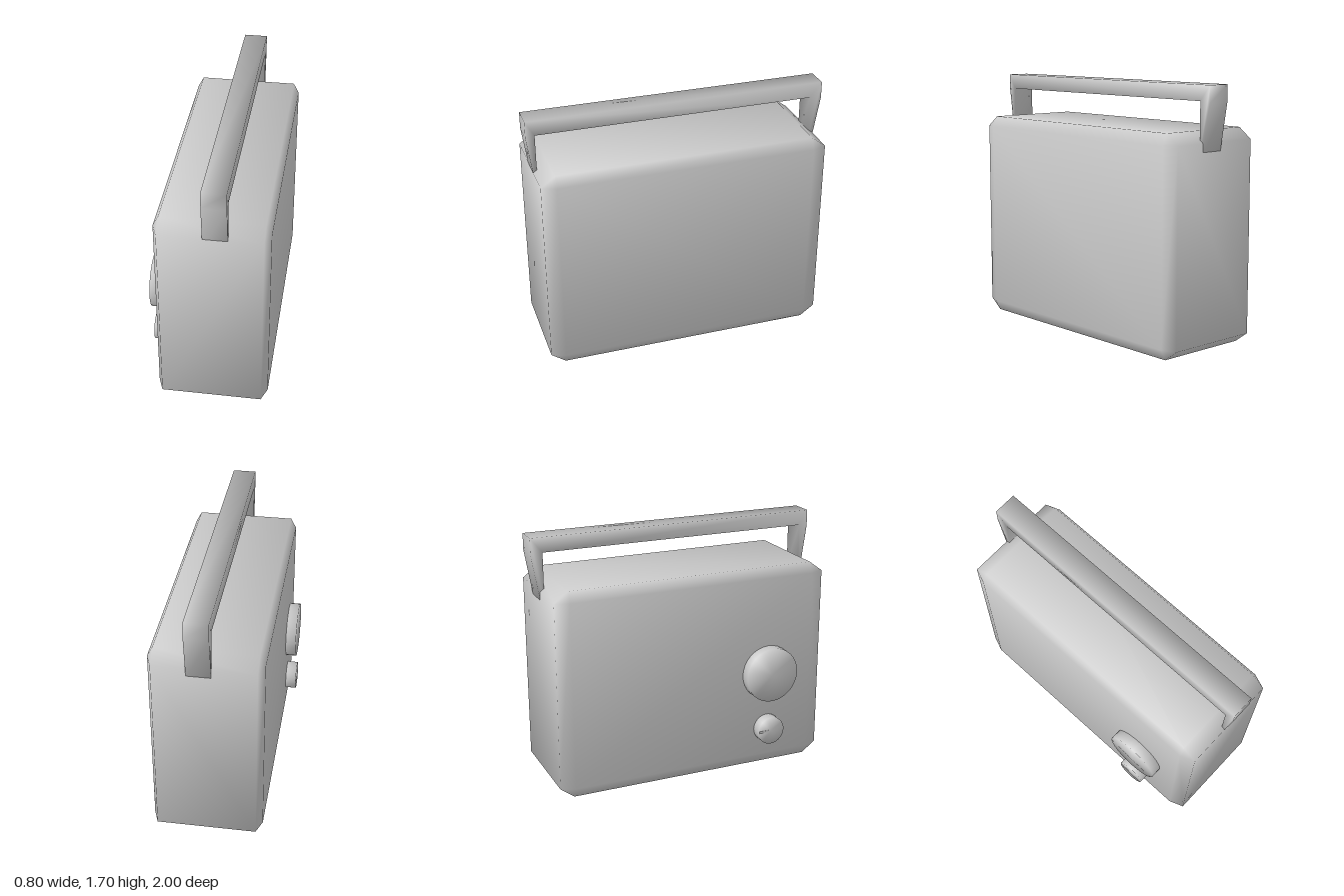
import * as THREE from 'three';
import { toCreasedNormals } from 'three/addons/utils/BufferGeometryUtils.js';
import { ConvexGeometry } from 'three/addons/geometries/ConvexGeometry.js';

const material = new THREE.MeshStandardMaterial({ color: 0xcccccc });

function addPart(parent, name, geometry) {
  const mesh = new THREE.Mesh(geometry, material);
  mesh.name = name;
  parent.add(mesh);
  return mesh;
}

// Soft shading across every edge
const soften = (geometry) => toCreasedNormals(geometry, Math.PI);

// Box with one flat bevel, bevel proportional to each dimension
function beveledBox(w, h, d, ratio) {
  const points = [];
  const inner = 0.5 - ratio;
  for (const x of [-1, 1]) for (const y of [-1, 1]) for (const z of [-1, 1]) {
    for (let axis = 0; axis < 3; axis++) {
      const e = [inner, inner, inner];
      e[axis] = 0.5;
      points.push(new THREE.Vector3(x * e[0] * w, y * e[1] * h, z * e[2] * d));
    }
  }
  return soften(new ConvexGeometry(points));
}

// Carrying handle: long bar with a tapered leg at each end
function handleGeometry(width) {
  const outline = [
    [-0.945, 1.27], [-1, 1.59], [-1, 1.7], [1, 1.7], [1, 1.59], [0.955, 1.27],
    [0.94, 1.27], [0.94, 1.6], [-0.92, 1.6], [-0.92, 1.27],
  ].map(([z, y]) => new THREE.Vector2(z, y));
  const geometry = new THREE.ExtrudeGeometry(new THREE.Shape(outline), { depth: width, bevelEnabled: false });
  geometry.rotateY(-Math.PI / 2);
  return soften(geometry);
}

// Round control on the side panel
function knobGeometry(radius, depth) {
  const geometry = new THREE.CylinderGeometry(radius, radius, depth, 32);
  geometry.rotateZ(Math.PI / 2);
  return soften(geometry);
}

export function createModel() {
  const model = new THREE.Group();
  model.name = 'portableRadio';

  // Case
  addPart(model, 'case', beveledBox(0.725, 1.413, 1.913, 0.05)).position.set(0.036, 0.7065, 0.0085);

  // Handle
  addPart(model, 'handle', handleGeometry(0.155)).position.x = 0.145;

  // Side controls
  addPart(model, 'largeDial', knobGeometry(0.19, 0.1)).position.set(-0.348, 0.677, 0.55);
  addPart(model, 'smallKnob', knobGeometry(0.097, 0.1)).position.set(-0.35, 0.268, 0.55);
  addPart(model, 'knobMarker', new THREE.BoxGeometry(0.006, 0.014, 0.07)).position.set(-0.399, 0.268, 0.492);

  return model;
}
